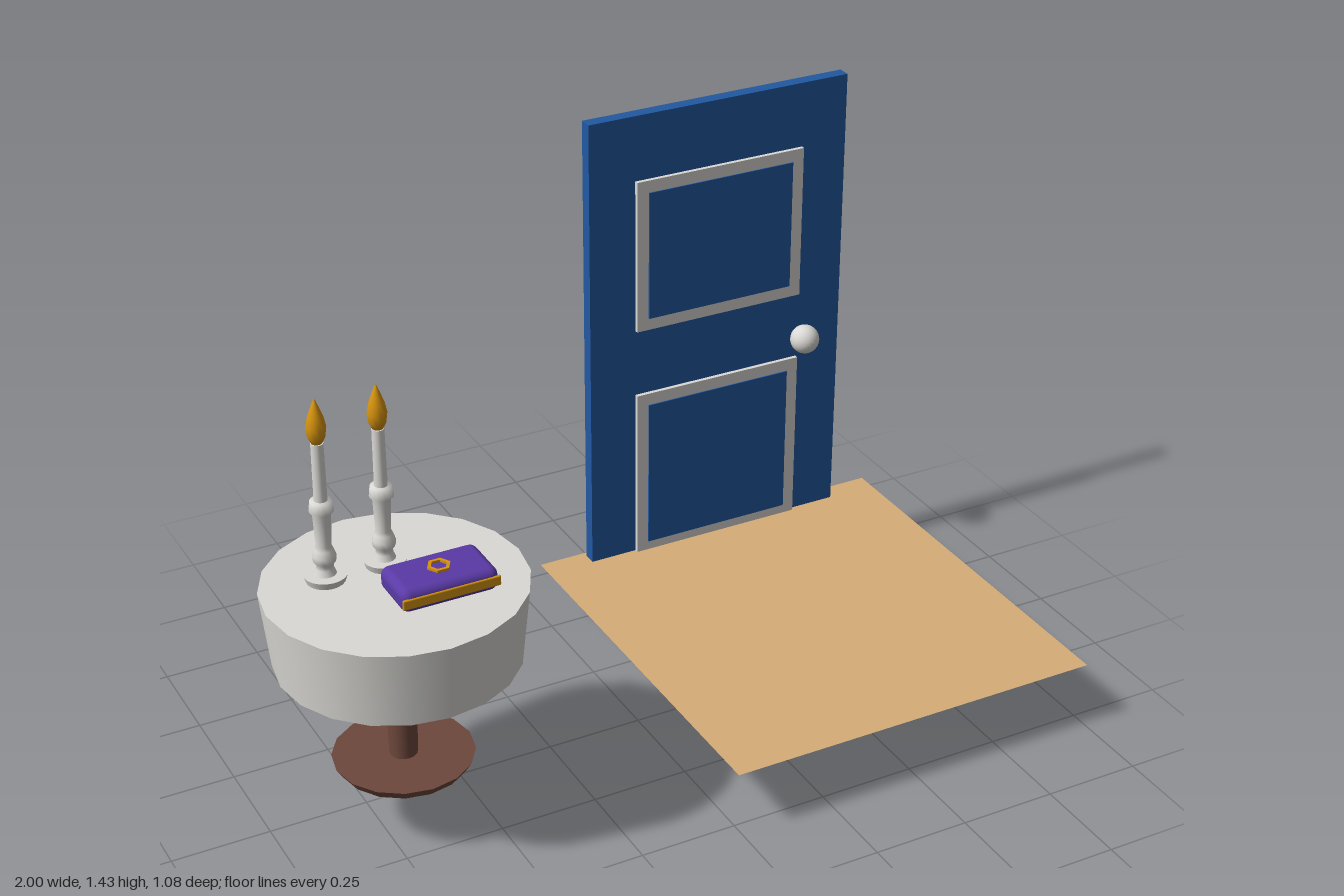
import * as THREE from 'three';
import { RoundedBoxGeometry } from 'three/addons/geometries/RoundedBoxGeometry.js';

const mat = (name, color, extra = {}) => Object.assign(new THREE.MeshStandardMaterial({ color, ...extra }), { name });

export function createModel() {
  const root = new THREE.Group();
  root.name = 'doorAndTableScene';
  const blue = mat('doorBlue', 0x2259a2);
  const white = mat('paleGrey', 0xdad9d5);
  const tan = mat('tan', 0xd6ae77, { side: THREE.DoubleSide });
  const brown = mat('darkWood', 0x6e483c);
  const purple = mat('bookPurple', 0x5a3aa6);
  const gold = mat('gold', 0xd6930e);

  const add = (parent, name, geometry, material, x = 0, y = 0, z = 0) => {
    const mesh = new THREE.Mesh(geometry, material);
    mesh.name = name;
    mesh.position.set(x, y, z);
    parent.add(mesh);
    return mesh;
  };
  const group = (name, x = 0, y = 0, z = 0) => {
    const g = new THREE.Group();
    g.name = name;
    g.position.set(x, y, z);
    root.add(g);
    return g;
  };
  const lathe = (points, segments) =>
    new THREE.LatheGeometry(points.map(([r, y]) => new THREE.Vector2(r, y)), segments);

  // Floor sheet
  add(root, 'floor', new THREE.PlaneGeometry(1.01, 1.075).rotateX(-Math.PI / 2), tan, 0.495, 0.175, -0.003);

  // Door with a tan sheet on its back
  const door = group('door', 0.4925, 0, -0.5075);
  add(door, 'doorSlab', new THREE.BoxGeometry(0.745, 1.43, 0.035), blue, 0, 0.715, 0);
  add(door, 'doorBackSheet', new THREE.PlaneGeometry(0.715, 1.4).rotateY(Math.PI), tan, 0, 0.715, -0.022);

  // Raised frames with inset panels
  for (const [name, y0, y1] of [['upper', 0.837, 1.255], ['lower', 0.168, 0.65]]) {
    const w = 0.2425, h = (y1 - y0) / 2, t = 0.033;
    const rect = (Type, a, b) => {
      const path = new Type();
      path.moveTo(-a, -b).lineTo(a, -b).lineTo(a, b).lineTo(-a, b).closePath();
      return path;
    };
    const shape = rect(THREE.Shape, w, h);
    shape.holes.push(rect(THREE.Path, w - t, h - t));
    const frame = new THREE.ExtrudeGeometry(shape, { depth: 0.012, bevelEnabled: false });
    add(door, name + 'Frame', frame, white, 0, (y0 + y1) / 2, 0.0165);
    add(door, name + 'Panel', new THREE.BoxGeometry(2 * (w - t), 2 * (h - t), 0.004), blue, 0, (y0 + y1) / 2, 0.03);
  }
  add(door, 'doorKnob', new THREE.SphereGeometry(0.039, 24, 16), white, 0.2525, 0.711, 0.0475);

  // Round pedestal table with a draped cloth
  const table = group('table', -0.685, 0, 0.1);
  add(table, 'tableCloth', new THREE.CylinderGeometry(0.316, 0.295, 0.199, 20), white, 0, 0.5725, 0);
  add(table, 'tablePole', new THREE.CylinderGeometry(0.041, 0.034, 0.29, 16), brown, 0, 0.335, 0);
  add(table, 'tableFoot', new THREE.CylinderGeometry(0.173, 0.157, 0.025, 16), brown, 0, 0.183, 0);

  // Two candlesticks with flames
  for (const x of [-0.822, -0.674]) {
    const stick = group('candlestick', x, 0.67, 0.017);
    add(stick, 'candleDish', new THREE.CylinderGeometry(0.053, 0.046, 0.02, 20), white, 0, 0.011, 0);
    add(stick, 'candleHolder', lathe([
      [0.027, 0.02], [0.021, 0.035], [0.02, 0.045], [0.027, 0.055], [0.028, 0.07], [0.022, 0.086],
      [0.018, 0.095], [0.02, 0.135], [0.022, 0.183], [0.029, 0.187], [0.026, 0.214], [0, 0.216],
    ], 16), white);
    add(stick, 'candle', new THREE.CylinderGeometry(0.015, 0.016, 0.15, 14), white, 0, 0.287, 0);
    add(stick, 'flame', lathe([
      [0, 0.358], [0.013, 0.363], [0.021, 0.38], [0.024, 0.402], [0.019, 0.427], [0.01, 0.452], [0, 0.477],
    ], 14), gold);
  }

  // Book with a gold front band and a hexagonal emblem on the cover
  const book = group('book', -0.607, 0.704, 0.179);
  add(book, 'bookCover', new RoundedBoxGeometry(0.242, 0.06, 0.144, 4, 0.022), purple);
  add(book, 'bookBand', new RoundedBoxGeometry(0.244, 0.026, 0.008, 2, 0.0035), gold, 0, -0.001, 0.071);
  const hexPoints = (r) => Array.from({ length: 6 }, (_, i) =>
    new THREE.Vector2(r * Math.cos(i * Math.PI / 3), r * Math.sin(i * Math.PI / 3)));
  const hex = new THREE.Shape(hexPoints(0.029));
  hex.holes.push(new THREE.Path(hexPoints(0.02)));
  const emblem = new THREE.ExtrudeGeometry(hex, { depth: 0.007, bevelEnabled: false }).rotateX(-Math.PI / 2);
  add(book, 'bookEmblem', emblem, gold, 0, 0.029, 0);

  return root;
}
